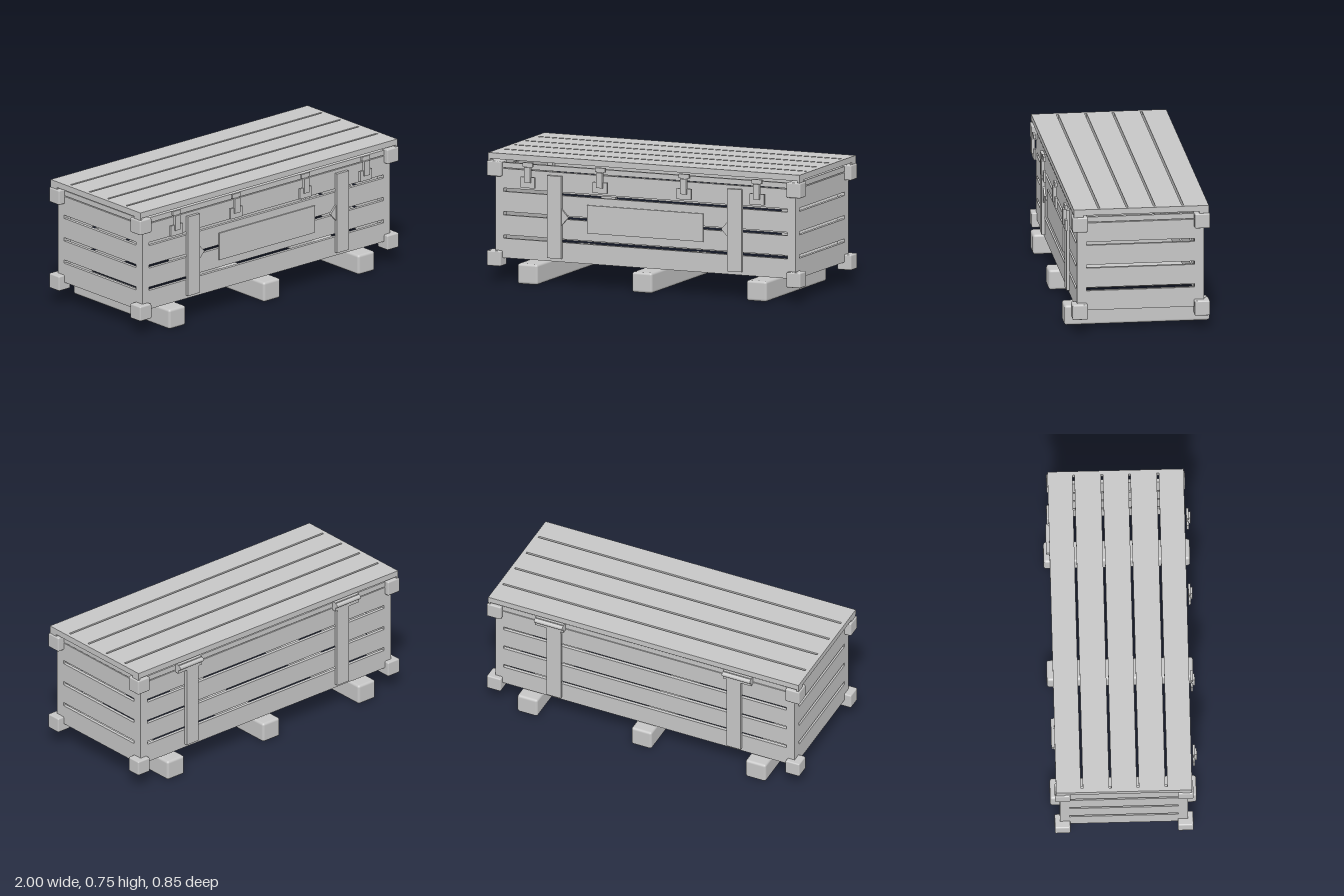
import * as THREE from 'three';
import { RoundedBoxGeometry } from 'three/addons/geometries/RoundedBoxGeometry.js';

const grey = new THREE.MeshStandardMaterial({ color: 0xc6c6c6 });
grey.name = 'painted grey';

function add(parent, name, geometry, x = 0, y = 0, z = 0) {
  const mesh = new THREE.Mesh(geometry, grey);
  mesh.name = name;
  mesh.position.set(x, y, z);
  parent.add(mesh);
  return mesh;
}

const box = (w, h, d) => new THREE.BoxGeometry(w, h, d);

// Box given by its limits on each axis
function block(parent, name, [x0, x1], [y0, y1], [z0, z1]) {
  return add(parent, name, box(x1 - x0, y1 - y0, z1 - z0), (x0 + x1) / 2, (y0 + y1) / 2, (z0 + z1) / 2);
}

function rectangle(Type, x0, y0, x1, y1) {
  const r = new Type();
  r.moveTo(x0, y0);
  r.lineTo(x1, y0);
  r.lineTo(x1, y1);
  r.lineTo(x0, y1);
  r.closePath();
  return r;
}

// Flat panel with long slots cut right through it
function slottedPanel(halfWidth, low, high, halfSlot, slots, slotHeight, depth) {
  const shape = rectangle(THREE.Shape, -halfWidth, low, halfWidth, high);
  for (const s of slots) {
    shape.holes.push(rectangle(THREE.Path, -halfSlot, s - slotHeight / 2, halfSlot, s + slotHeight / 2));
  }
  const g = new THREE.ExtrudeGeometry(shape, { depth, bevelEnabled: false });
  g.translate(0, 0, -depth / 2);
  return g;
}

export function createModel() {
  const model = new THREE.Group();
  model.name = 'crate';

  // Slatted walls of the body
  const slots = [0.265, 0.402, 0.54];
  const longWall = slottedPanel(0.957, 0.14, 0.665, 0.905, slots, 0.02, 0.02);
  const endWall = slottedPanel(0.352, 0.138, 0.665, 0.315, slots, 0.02, 0.02);
  for (const s of [1, -1]) {
    add(model, s > 0 ? 'frontWall' : 'backWall', longWall, 0, 0, s * 0.362);
    add(model, s > 0 ? 'leftWall' : 'rightWall', endWall, s * 0.947, 0, 0).rotation.y = Math.PI / 2;

    // Rim around the mouth of the body
    add(model, 'longRim', box(1.9, 0.031, 0.022), 0, 0.6855, s * 0.361);
    add(model, 'endRim', box(0.022, 0.031, 0.7), s * 0.946, 0.6855, 0);
  }

  // Corner posts, rounded caps and the lid supports above them
  const cap = new RoundedBoxGeometry(0.09, 0.09, 0.09, 2, 0.008);
  for (const x of [-1, 1]) {
    for (const z of [-1, 1]) {
      add(model, 'cornerPost', box(0.048, 0.53, 0.052), x * 0.93, 0.403, z * 0.343);
      for (const y of [0.137, 0.665]) add(model, 'cornerCap', cap, x * 0.955, y, z * 0.357);
      add(model, 'lidSupport', box(0.012, 0.04, 0.055), x * 0.986, 0.705, z * 0.367);
    }
  }

  // Slatted lid
  const lid = slottedPanel(0.992, -0.395, 0.395, 0.968, [-0.245, -0.08, 0.08, 0.245], 0.012, 0.035);
  add(model, 'lid', lid, 0, 0.739, 0).rotation.x = -Math.PI / 2;

  // Skids
  const skid = new RoundedBoxGeometry(0.13, 0.12, 0.85, 2, 0.015);
  for (const x of [-0.73, 0, 0.73]) add(model, 'skid', skid, x, 0.062, 0);

  // Straps with pointed tabs on the front
  const tabShape = new THREE.Shape();
  tabShape.moveTo(0, -0.05);
  tabShape.lineTo(0.045, 0);
  tabShape.lineTo(0, 0.05);
  tabShape.closePath();
  const tab = new THREE.ExtrudeGeometry(tabShape, { depth: 0.012, bevelEnabled: false });
  const strap = box(0.09, 0.485, 0.02);
  for (const s of [-1, 1]) {
    add(model, 'frontStrap', strap, s * 0.575, 0.403, 0.381);
    add(model, 'backStrap', strap, s * 0.575, 0.403, -0.381);
    const point = add(model, 'strapTab', tab, s * 0.532, 0.405, s > 0 ? 0.383 : 0.371);
    if (s > 0) point.rotation.y = Math.PI;

    // Hinge with a long barrel
    const hinge = new THREE.Group();
    hinge.name = 'hinge';
    hinge.position.x = s * 0.6;
    block(hinge, 'hingeLeaf', [-0.09, 0.09], [0.655, 0.71], [-0.398, -0.37]);
    block(hinge, 'hingeNeck', [-s * 0.025 - 0.045, -s * 0.025 + 0.045], [0.64, 0.66], [-0.393, -0.37]);
    const barrel = new THREE.CylinderGeometry(0.014, 0.014, 0.18, 16);
    add(hinge, 'hingeBarrel', barrel, 0, 0.691, -0.401).rotation.z = Math.PI / 2;
    model.add(hinge);
  }

  // Front plaque
  add(model, 'plaque', box(0.74, 0.165, 0.009), 0, 0.403, 0.376);

  // Toggle latches
  for (const x of [-0.73, -0.27, 0.265, 0.73]) {
    const latch = new THREE.Group();
    latch.name = 'latch';
    latch.position.x = x;
    block(latch, 'latchBase', [-0.045, 0.045], [0.568, 0.632], [0.404, 0.418]);
    block(latch, 'latchLever', [-0.02, 0.02], [0.6, 0.69], [0.412, 0.428]);
    block(latch, 'latchHook', [-0.032, 0.032], [0.692, 0.717], [0.404, 0.418]);
    block(latch, 'latchLink', [-0.02, 0.02], [0.63, 0.695], [0.408, 0.416]);
    model.add(latch);
  }

  return model;
}
